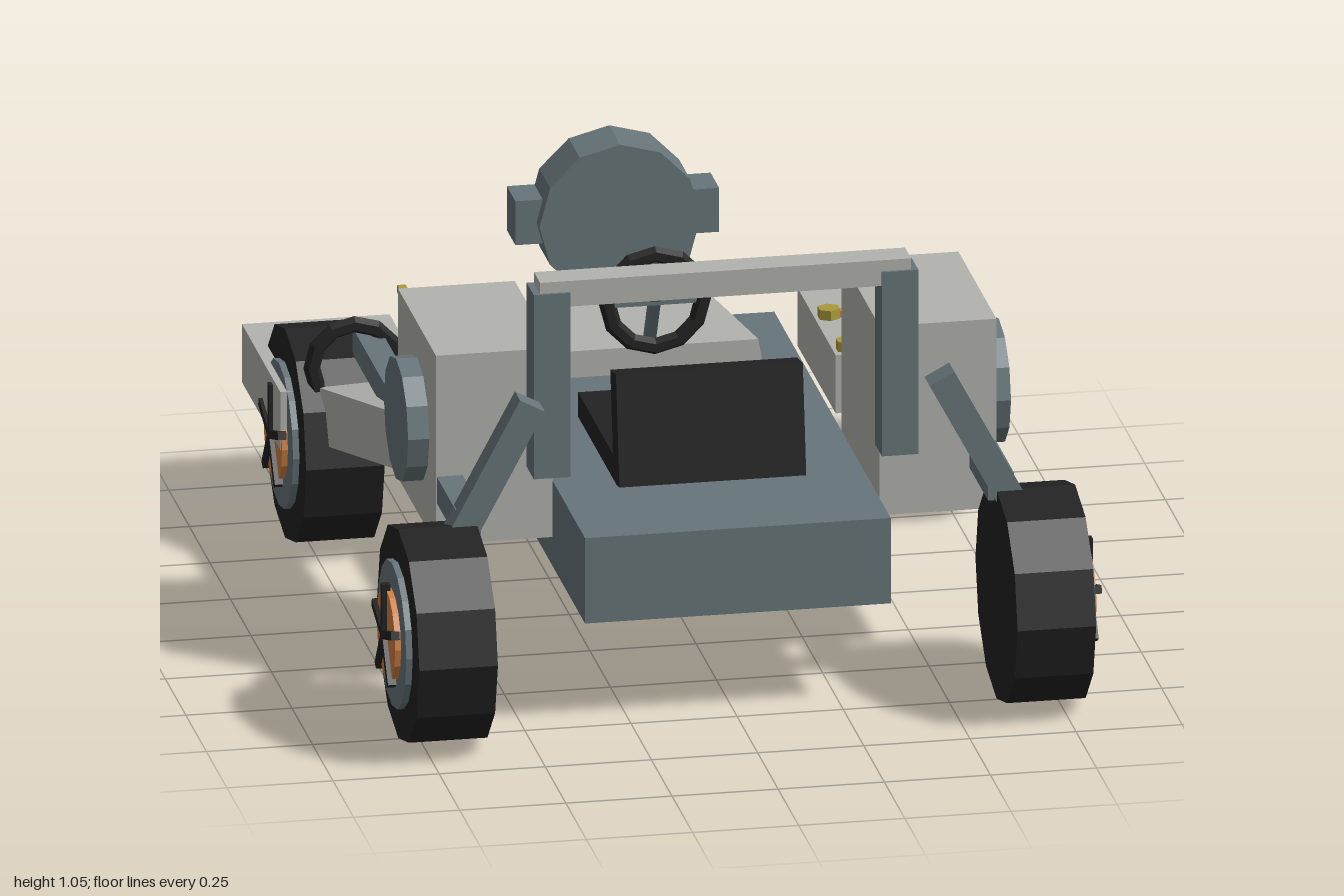
import * as THREE from 'three';

const mat = (name, color) => {
  const m = new THREE.MeshStandardMaterial({ color, flatShading: true });
  m.name = name;
  return m;
};

export function createModel() {
  const root = new THREE.Group();
  const slate = mat('slate', 0x67757a);
  const grey = mat('lightGrey', 0xb2b3ae);
  const black = mat('black', 0x222222);
  const orange = mat('orange', 0xd08040);
  const gold = mat('gold', 0xa89a3a);

  const add = (name, geo, m, parent = root) => {
    const mesh = new THREE.Mesh(geo, m);
    mesh.name = name;
    parent.add(mesh);
    return mesh;
  };
  // box given by its min and max on each axis
  const box = (name, m, x0, x1, y0, y1, z0, z1, parent = root) => {
    const b = add(name, new THREE.BoxGeometry(Math.abs(x1 - x0), y1 - y0, z1 - z0), m, parent);
    b.position.set((x0 + x1) / 2, (y0 + y1) / 2, (z0 + z1) / 2);
    return b;
  };
  // cylinder along 'x', 'y' or 'z' between two coordinates
  const disc = (name, m, axis, r, a, b, u, v, sides = 12, parent = root) => {
    const g = new THREE.CylinderGeometry(r, r, Math.abs(b - a), sides);
    if (axis === 'x') g.rotateZ(Math.PI / 2);
    if (axis === 'z') g.rotateX(Math.PI / 2);
    const c = add(name, g, m, parent), mid = (a + b) / 2;
    if (axis === 'x') c.position.set(mid, u, v);
    else if (axis === 'y') c.position.set(u, mid, v);
    else c.position.set(u, v, mid);
    return c;
  };
  // rectangular beam between two points
  const beam = (name, m, from, to, w, h, parent = root) => {
    const a = new THREE.Vector3(...from), b = new THREE.Vector3(...to);
    const mesh = add(name, new THREE.BoxGeometry(w, h, a.distanceTo(b)), m, parent);
    mesh.position.copy(a).add(b).multiplyScalar(0.5);
    mesh.lookAt(b);
    return mesh;
  };

  // Chassis
  box('chassis', slate, -0.36, 0.36, 0.26, 0.47, -0.66, 0.76);

  // Tapered nose: narrower and slightly undercut toward the lamp end
  const nose = new THREE.BoxGeometry(1, 0.145, 0.53);
  const p = nose.attributes.position;
  for (let i = 0; i < p.count; i++) {
    const lamp = p.getZ(i) < 0, top = p.getY(i) > 0;
    p.setX(i, Math.sign(p.getX(i)) * ((lamp ? 0.175 : 0.255) + (top ? 0 : 0.025)));
    p.setZ(i, lamp ? (top ? -0.80 : -0.85) : -0.31);
  }
  nose.translate(0, 0.4625, 0);
  add('nose', nose, grey);

  // Seat
  const seat = new THREE.Group();
  seat.name = 'seat';
  root.add(seat);
  box('seatCushion', black, -0.22, 0.22, 0.47, 0.53, -0.05, 0.40, seat);
  const back = new THREE.Group();
  back.name = 'seatBack';
  back.position.set(0, 0.47, 0.42);
  back.rotation.x = -0.16;
  seat.add(back);
  box('backrest', black, -0.22, 0.22, 0, 0.265, -0.035, 0.035, back);
  box('backPanel', slate, -0.17, 0.17, 0.04, 0.235, -0.05, -0.035, back);

  // Steering wheel
  const steering = add('steeringWheel', new THREE.TorusGeometry(0.113, 0.02, 6, 12), black);
  steering.position.set(0, 0.67, -0.25);
  box('steeringSpoke', slate, -0.11, 0.11, 0.66, 0.68, -0.258, -0.242);
  beam('steeringColumn', slate, [0, 0.68, -0.25], [0, 0.46, -0.365], 0.025, 0.025);

  // Big lamp
  disc('lampHousing', slate, 'z', 0.19, -0.81, -0.675, 0, 0.71);
  disc('lampRim', black, 'z', 0.148, -0.83, -0.81, 0, 0.71, 16);
  disc('lampLens', gold, 'z', 0.112, -0.845, -0.83, 0, 0.71, 16);
  disc('lampCentre', black, 'z', 0.047, -0.862, -0.845, 0, 0.71);
  for (const s of [-1, 1]) box('lampEar', slate, s * 0.15, s * 0.24, 0.657, 0.765, -0.815, -0.71);

  // Roll bar
  box('rollBarTop', grey, -0.437, 0.437, 0.987, 1.05, 0.535, 0.61);
  for (const s of [-1, 1]) box('rollBarPost', slate, s * 0.367, s * 0.453, 0.57, 1.023, 0.53, 0.617);

  for (const s of [-1, 1]) {
    const side = new THREE.Group();
    side.name = s > 0 ? 'leftSide' : 'rightSide';
    root.add(side);

    // Wheels
    for (const z of [0.745, -0.634]) {
      const wheel = new THREE.Group();
      wheel.name = z > 0 ? 'frontWheel' : 'backWheel';
      wheel.position.set(0, 0.26, z);
      side.add(wheel);
      disc('tyre', black, 'x', 0.257, s * 0.612, s * 0.797, 0, 0, 12, wheel);
      disc('rim', slate, 'x', 0.175, s * 0.78, s * 0.812, 0, 0, 16, wheel);
      disc('hubPlate', orange, 'x', 0.112, s * 0.80, s * 0.826, 0, 0, 16, wheel);
      for (let i = 0; i < 5; i++) {
        const g = new THREE.BoxGeometry(0.02, 0.125, 0.02);
        g.translate(s * 0.827, 0.0625, 0);
        add('spoke', g, black, wheel).rotation.x = (i * Math.PI * 2) / 5;
      }
    }

    // Side tank with round cap
    box('sideTank', grey, s * 0.385, s * 0.66, 0.38, 0.845, 0.033, 0.495, side);
    disc('tankCap', slate, 'x', 0.148, s * 0.65, s * 0.71, 0.612, 0.267, 12, side);

    // Fender, arm, rail and strut
    box('fender', grey, s * 0.48, s * 0.828, 0.257, 0.40, -1.0, -0.532, side);
    beam('wheelArm', grey, [s * 0.572, 0.495, 0.13], [s * 0.695, 0.34, -0.58], 0.155, 0.135, side);
    box('sideRail', slate, s * 0.597, s * 0.658, 0.482, 0.547, -0.53, 0.72, side);
    const strut = box('wheelStrut', slate, -0.033, 0.033, -0.18, 0.18, -0.032, 0.032, side);
    strut.position.set(s * 0.567, 0.642, 0.72);
    strut.rotation.z = s * 0.49;

    // Small ring on the rail end
    const ring = add('railRing', new THREE.TorusGeometry(0.1, 0.02, 6, 12), black, side);
    ring.position.set(s * 0.667, 0.48, -0.465);

    // Gold pipe with knobs
    box('pipe', gold, s * 0.515, s * 0.535, 0.592, 0.61, -0.625, 0.035, side);
    for (const z of [-0.49, -0.27, -0.05]) {
      box('knobStem', orange, s * 0.42, s * 0.515, 0.593, 0.609, z - 0.01, z + 0.01, side);
      disc('knob', gold, 'y', 0.027, 0.592, 0.616, s * 0.413, z, 6, side);
    }
  }
  return root;
}
